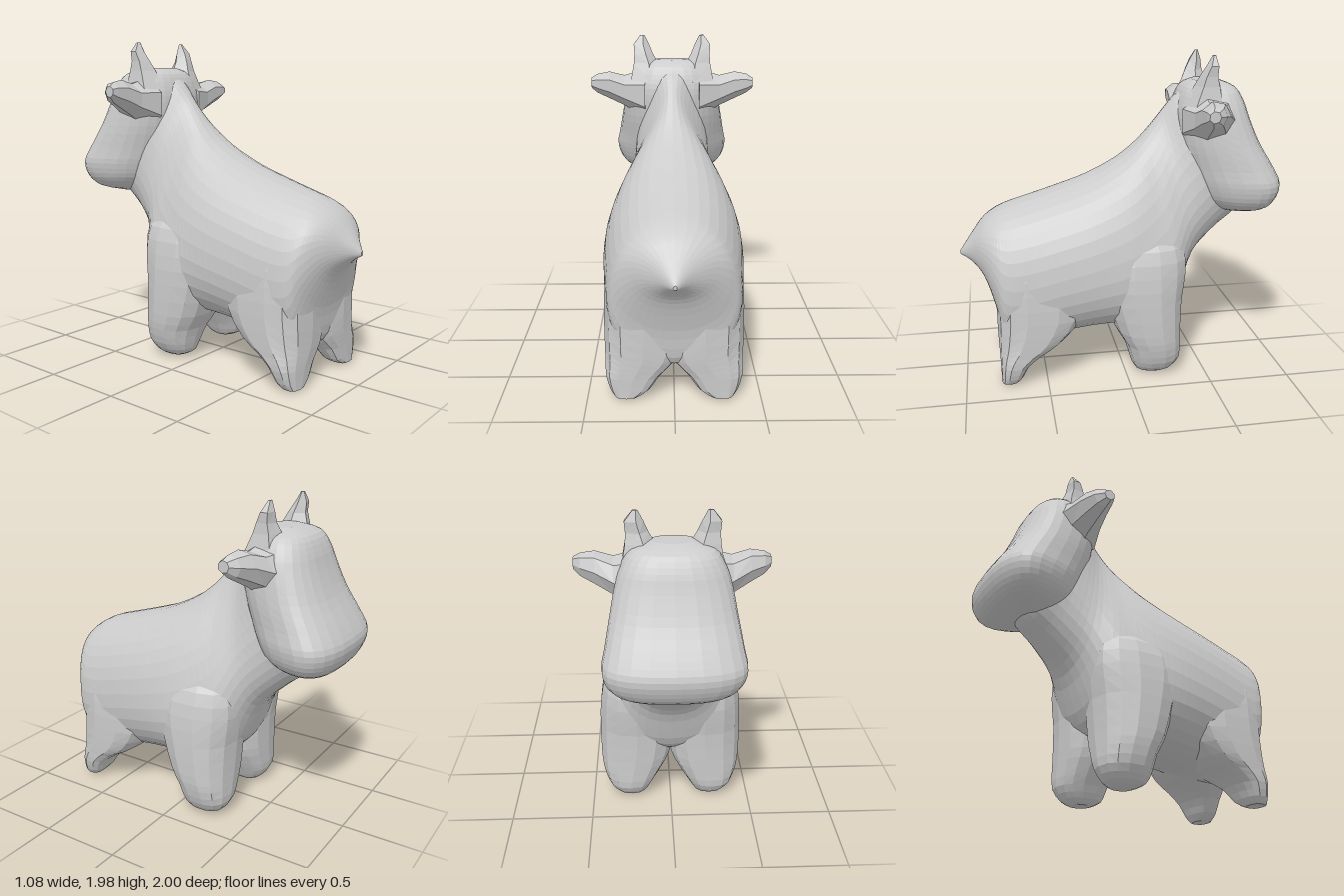
import * as THREE from 'three';

const spow = (v, k) => Math.sign(v) * Math.abs(v) ** k;

// Catmull-Rom refinement of a list of parameter rows
function refine(rows, steps) {
  const out = [];
  const at = i => rows[Math.max(0, Math.min(rows.length - 1, i))];
  for (let i = 0; i < rows.length - 1; i++) {
    for (let s = 0; s < steps; s++) {
      const t = s / steps;
      out.push(rows[i].map((b, k) => {
        const a = at(i - 1)[k], c = at(i + 1)[k], d = at(i + 2)[k];
        return b + 0.5 * t * (c - a + t * (2 * a - 5 * b + 4 * c - d + t * (3 * (b - c) + d - a)));
      }));
    }
  }
  out.push(rows[rows.length - 1]);
  return out;
}

// Skin closed rings of points into a capped solid facing outwards
function skin(name, rings, material) {
  const n = rings[0].length;
  const pts = rings.flat();
  const index = [];
  for (let r = 0; r < rings.length - 1; r++) {
    for (let i = 0; i < n; i++) {
      const a = r * n + i, b = r * n + (i + 1) % n;
      index.push(a, b, b + n, a, b + n, a + n);
    }
  }
  for (const r of [0, rings.length - 1]) {
    const centre = rings[r].reduce((s, p) => s.add(p), new THREE.Vector3()).divideScalar(n);
    const c = pts.push(centre) - 1;
    for (let i = 0; i < n; i++) {
      const a = r * n + i, b = r * n + (i + 1) % n;
      index.push(c, ...(r === 0 ? [b, a] : [a, b]));
    }
  }
  // A negative enclosed volume means the winding must be reversed
  let volume = 0;
  const cross = new THREE.Vector3();
  for (let i = 0; i < index.length; i += 3) {
    volume += pts[index[i]].dot(cross.crossVectors(pts[index[i + 1]], pts[index[i + 2]]));
  }
  if (volume < 0) index.reverse();
  const geometry = new THREE.BufferGeometry().setFromPoints(pts);
  geometry.setIndex(index);
  geometry.computeVertexNormals();
  const mesh = new THREE.Mesh(geometry, material);
  mesh.name = name;
  return mesh;
}

// Ring between profile points A and B: [zA, yA, zB, yB, halfWidth, taper towards A]
function profileRing([za, ya, zb, yb, w, taper], sides, e) {
  return Array.from({ length: sides }, (_, i) => {
    const t = (i / sides) * Math.PI * 2;
    const c = spow(Math.cos(t), 2 / e), s = spow(Math.sin(t), 2 / e);
    return new THREE.Vector3(
      w * s * (1 - taper * (1 + c) / 2),
      (ya + yb) / 2 + c * (ya - yb) / 2,
      (za + zb) / 2 + c * (za - zb) / 2);
  });
}

// Level ring: [y, xInner, xOuter, zBack, zFront], mirrored by side
function levelRing([y, x0, x1, z0, z1], side, sides, e) {
  return Array.from({ length: sides }, (_, i) => {
    const t = ((i + 0.5) / sides) * Math.PI * 2;
    return new THREE.Vector3(
      side * ((x0 + x1) / 2 + spow(Math.cos(t), 2 / e) * (x1 - x0) / 2),
      y,
      (z0 + z1) / 2 + spow(Math.sin(t), 2 / e) * (z1 - z0) / 2);
  });
}

// Upright ring across an ear: [x, yLow, yHigh, zBack, zFront]
function earRing([x, y0, y1, z0, z1], side, sides) {
  return Array.from({ length: sides }, (_, i) => {
    const t = (i / sides) * Math.PI * 2;
    return new THREE.Vector3(
      side * x,
      (y0 + y1) / 2 + Math.sin(t) * (y1 - y0) / 2,
      (z0 + z1) / 2 + Math.cos(t) * (z1 - z0) / 2);
  });
}

// Tail point, rump, barrel, chest and neck (A = back line, B = belly line)
const TORSO = [
  [1.0, 0.79, 1.0, 0.765, 0.01, 0],
  [0.93, 0.89, 0.93, 0.72, 0.1, 0],
  [0.86, 0.98, 0.86, 0.63, 0.23, 0.05],
  [0.79, 1.035, 0.8, 0.44, 0.34, 0.1],
  [0.71, 1.075, 0.75, 0.22, 0.4, 0.12],
  [0.58, 1.115, 0.58, 0.2, 0.425, 0.12],
  [0.4, 1.17, 0.4, 0.24, 0.452, 0.15],
  [0.2, 1.24, 0.2, 0.27, 0.48, 0.22],
  [0.02, 1.335, 0, 0.28, 0.505, 0.36],
  [-0.1, 1.43, -0.15, 0.3, 0.51, 0.5],
  [-0.19, 1.53, -0.33, 0.42, 0.485, 0.65],
  [-0.27, 1.63, -0.45, 0.7, 0.37, 0.65],
  [-0.36, 1.73, -0.6, 0.86, 0.3, 0.4],
  [-0.47, 1.79, -0.74, 0.97, 0.26, 0.1],
  [-0.58, 1.74, -0.8, 1.06, 0.2, 0],
];

// Head from crown down to chin (A = nape side, B = face side)
const HEAD = [
  [-0.46, 1.82, -0.62, 1.82, 0.11, 0],
  [-0.4, 1.78, -0.715, 1.78, 0.23, 0.05],
  [-0.36, 1.7, -0.765, 1.7, 0.295, 0.1],
  [-0.34, 1.6, -0.8, 1.6, 0.34, 0.18],
  [-0.35, 1.45, -0.865, 1.45, 0.385, 0.27],
  [-0.39, 1.3, -0.955, 1.3, 0.43, 0.35],
  [-0.43, 1.2, -1.0, 1.2, 0.455, 0.37],
  [-0.48, 1.11, -0.975, 1.1, 0.42, 0.35],
  [-0.56, 1.045, -0.92, 1.035, 0.32, 0.25],
  [-0.66, 1.0, -0.82, 1.0, 0.14, 0],
];

const FORE_LEG = [
  [0, 0.19, 0.3, -0.13, -0.25],
  [0.03, 0.15, 0.355, -0.06, -0.3],
  [0.1, 0.11, 0.405, -0.03, -0.345],
  [0.2, 0.05, 0.435, 0, -0.352],
  [0.3, 0, 0.447, 0.06, -0.355],
  [0.5, -0.03, 0.45, 0.13, -0.365],
  [0.68, -0.01, 0.44, 0.18, -0.39],
  [0.84, 0.05, 0.4, 0.15, -0.37],
  [0.98, 0.12, 0.28, 0.05, -0.28],
];

const HIND_LEG = [
  [0.01, 0.21, 0.34, 0.785, 0.68],
  [0.05, 0.14, 0.37, 0.785, 0.645],
  [0.13, 0.08, 0.395, 0.787, 0.6],
  [0.2, 0, 0.4, 0.79, 0.5],
  [0.27, -0.05, 0.405, 0.793, 0.38],
  [0.42, -0.06, 0.41, 0.795, 0.26],
  [0.6, -0.03, 0.405, 0.79, 0.26],
  [0.78, 0.04, 0.375, 0.76, 0.34],
  [0.9, 0.1, 0.28, 0.7, 0.45],
];

const HORN = [
  [1.68, 0.05, 0.3, -0.36, -0.64],
  [1.8, 0.095, 0.272, -0.43, -0.6],
  [1.86, 0.13, 0.265, -0.46, -0.575],
  [1.92, 0.155, 0.268, -0.495, -0.57],
  [1.98, 0.185, 0.215, -0.53, -0.55],
];

const EAR = [
  [0.18, 1.42, 1.76, -0.34, -0.73],
  [0.32, 1.51, 1.72, -0.385, -0.64],
  [0.42, 1.56, 1.745, -0.4, -0.585],
  [0.5, 1.6, 1.73, -0.41, -0.54],
  [0.54, 1.635, 1.705, -0.42, -0.49],
];

export function createModel() {
  const model = new THREE.Group();
  model.name = 'calf';
  const material = new THREE.MeshStandardMaterial({ color: 0xcccccc, flatShading: true });

  model.add(skin('torsoAndNeck', refine(TORSO, 4).map(r => profileRing(r, 36, 2.2)), material));
  model.add(skin('head', refine(HEAD, 3).map(r => profileRing(r, 28, 2.6)), material));

  // Paired parts
  for (const [label, side] of [['left', 1], ['right', -1]]) {
    model.add(
      skin(label + 'ForeLeg', refine(FORE_LEG, 2).map(r => levelRing(r, side, 14, 2.4)), material),
      skin(label + 'HindLeg', refine(HIND_LEG, 2).map(r => levelRing(r, side, 14, 2.8)), material),
      skin(label + 'Horn', HORN.map(r => levelRing(r, side, 5, 2)), material),
      skin(label + 'Ear', EAR.map(r => earRing(r, side, 7)), material));
  }
  return model;
}
